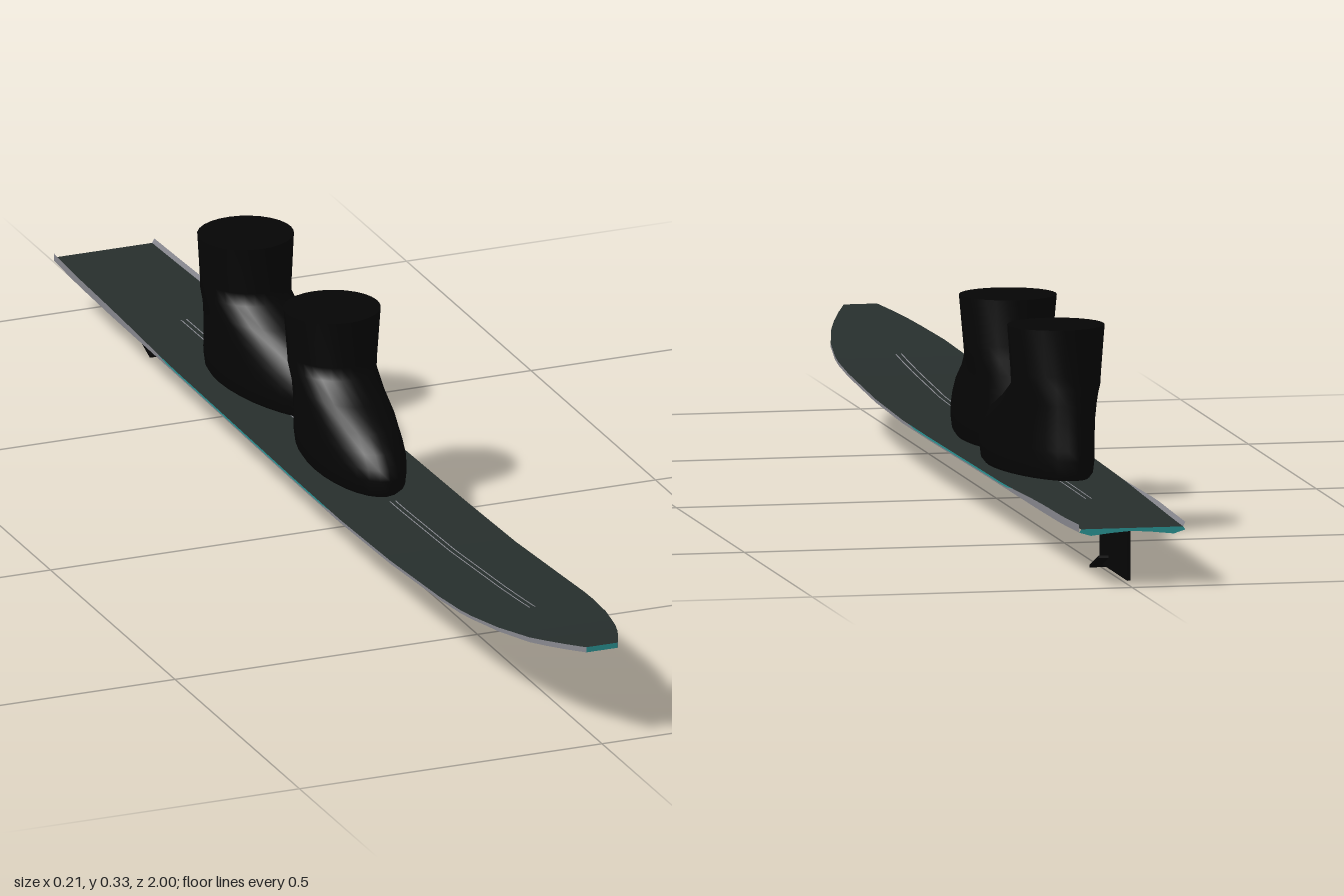
import * as THREE from 'three';
import { mergeVertices } from 'three/addons/utils/BufferGeometryUtils.js';

const mat = (name, color) => Object.assign(new THREE.MeshStandardMaterial({ color }), { name });

// Smooth surface through rows of [x, y, z] points
function loft(rows) {
  const n = rows[0].length, index = [];
  for (let i = 0; i < rows.length - 1; i++) {
    for (let j = 0; j < n - 1; j++) {
      const a = i * n + j, b = a + n;
      index.push(a, a + 1, b, a + 1, b + 1, b);
    }
  }
  const geo = new THREE.BufferGeometry();
  geo.setAttribute('position', new THREE.Float32BufferAttribute(rows.flat(2), 3));
  geo.setIndex(index);
  const merged = mergeVertices(geo, 1e-5);
  merged.computeVertexNormals();
  return merged;
}

// Linear lookup in a table of [key, ...values] with rising keys
function lookup(table, k) {
  let i = 0;
  while (i < table.length - 2 && k > table[i + 1][0]) i++;
  const [p, q] = [table[i], table[i + 1]];
  const t = (k - p[0]) / (q[0] - p[0]);
  return p.slice(1).map((v, j) => v + (q[j + 1] - v) * t);
}

export function createModel() {
  const model = new THREE.Group();
  const topMat = mat('deckGreenGrey', 0x272f2d);
  const baseMat = mat('baseGrey', 0x88888f);
  const edgeMat = mat('edgeTeal', 0x2a9494);
  const blackMat = mat('rubberBlack', 0x050505);

  const add = (name, geo, material, parent = model) => {
    const mesh = new THREE.Mesh(geo, material);
    mesh.name = name;
    parent.add(mesh);
    return mesh;
  };

  // Ski outline: z, half width, deck height
  const outline = [
    [-1, 0.083, 0.092], [-0.9, 0.087, 0.091], [-0.75, 0.091, 0.092], [-0.4, 0.096, 0.094],
    [0, 0.102, 0.095], [0.2, 0.104, 0.096], [0.4, 0.104, 0.101], [0.6, 0.104, 0.113],
    [0.7, 0.102, 0.121], [0.8, 0.089, 0.132], [0.88, 0.071, 0.142], [0.94, 0.052, 0.152], [1, 0.026, 0.162],
  ];
  const fractions = [-1, -0.78, -0.4, 0, 0.4, 0.78, 1];
  const drop = [0.005, 0.0105, 0.007, 0.0045, 0.007, 0.0105, 0.005];
  const stations = Array.from({ length: 51 }, (_, i) => {
    const z = 1 - i * 0.04;
    const [w, y] = lookup(outline, z);
    const lip = 0.007 * THREE.MathUtils.smoothstep(-z, 0.45, 0.8);
    const flat = THREE.MathUtils.smoothstep(z, 0.7, 0.95); // the hollow base levels out at the tip
    return {
      z, w, y, lip, inner: w - lip * 0.5,
      drops: drop.map(d => THREE.MathUtils.lerp(d, 0.0085, flat)),
      trim: z > -0.54 && z < 0.14 ? 0.003 : 0,
    };
  });
  const span = (from, to) => stations.filter(s => s.z > from && s.z < to);
  const deck = stations.map(s => fractions.map(f => [f * s.inner, s.y, s.z]));
  const base = stations.map(s => fractions.map((f, j) => [f * s.w, s.y - s.drops[j], s.z]));
  add('skiDeck', loft(deck), topMat);
  add('skiBase', loft(base.map(r => [...r].reverse())), baseMat);
  add('skiTip', loft([base[0], deck[0]]), edgeMat);
  add('skiTail', loft([deck.at(-1), base.at(-1)]), edgeMat);

  // Side walls, teal trim beside the boots, tail lips and fine deck lines
  for (const side of [1, -1]) {
    const name = side > 0 ? 'left' : 'right';
    const strip = (part, list, material, outerRow) =>
      add(name + part, loft(list.map(s => (side > 0 ? outerRow(s) : outerRow(s).reverse()))), material);
    strip('SideWall', stations, baseMat, s => [
      [side * s.w, s.y + s.lip - s.trim, s.z], [side * s.w, s.y - s.drops[0], s.z]]);
    strip('Trim', span(-0.58, 0.18), edgeMat, s => [
      [side * s.w, s.y + s.lip, s.z], [side * s.w, s.y + s.lip - s.trim, s.z]]);
    strip('TailLip', span(-1.1, -0.4), baseMat, s => [
      [side * s.inner, s.y, s.z], [side * s.w, s.y + s.lip, s.z]]);
    for (const [from, to] of [[-0.7, -0.18], [0.14, 0.74]]) {
      strip('DeckLine', span(from, to), baseMat, s => [
        [side * 0.0035, s.y + 0.0006, s.z], [side * 0.0055, s.y + 0.0006, s.z]]);
    }
  }

  // Boot rings: height, half width, heel z, toe z (origin at the ankle)
  const rings = [
    [0, 0.058, -0.078, 0.222], [0.008, 0.063, -0.086, 0.234], [0.03, 0.066, -0.089, 0.236],
    [0.046, 0.066, -0.088, 0.232], [0.066, 0.066, -0.086, 0.214], [0.09, 0.065, -0.084, 0.185],
    [0.115, 0.064, -0.081, 0.13], [0.14, 0.066, -0.077, 0.08], [0.16, 0.068, -0.074, 0.076],
    [0.232, 0.075, -0.072, 0.073],
  ];
  const bootRows = rings.map(([y, w, heel, toe]) => Array.from({ length: 29 }, (_, i) => {
    const a = Math.PI + (i % 28) / 28 * Math.PI * 2;
    return [w * Math.sin(a), y, (heel + toe) / 2 + (toe - heel) / 2 * Math.cos(a)];
  }));
  const bootGeo = loft(bootRows);
  const capGeo = new THREE.CircleGeometry(0.075, 28).rotateX(-Math.PI / 2).scale(1, 1, 0.967);
  for (const [name, x, z, angle] of [['frontBoot', 0, -0.085, 0], ['rearBoot', -0.003, -0.425, 0.2]]) {
    const boot = new THREE.Group();
    boot.name = name;
    add('bootShell', bootGeo, blackMat, boot);
    add('bootTop', capGeo, blackMat, boot).position.set(0, 0.232, 0.0005);
    boot.position.set(x, 0.095, z);
    boot.rotation.y = angle;
    model.add(boot);
  }

  // Fin with a small tilted wing at its leading end
  add('fin', new THREE.BoxGeometry(0.005, 0.08, 0.205), blackMat).position.set(0, 0.047, -0.8725);
  const wing = add('finWing', new THREE.BoxGeometry(0.036, 0.004, 0.07), blackMat);
  wing.position.set(0, 0.0135, -0.804);
  wing.rotation.x = 0.34;
  return model;
}
